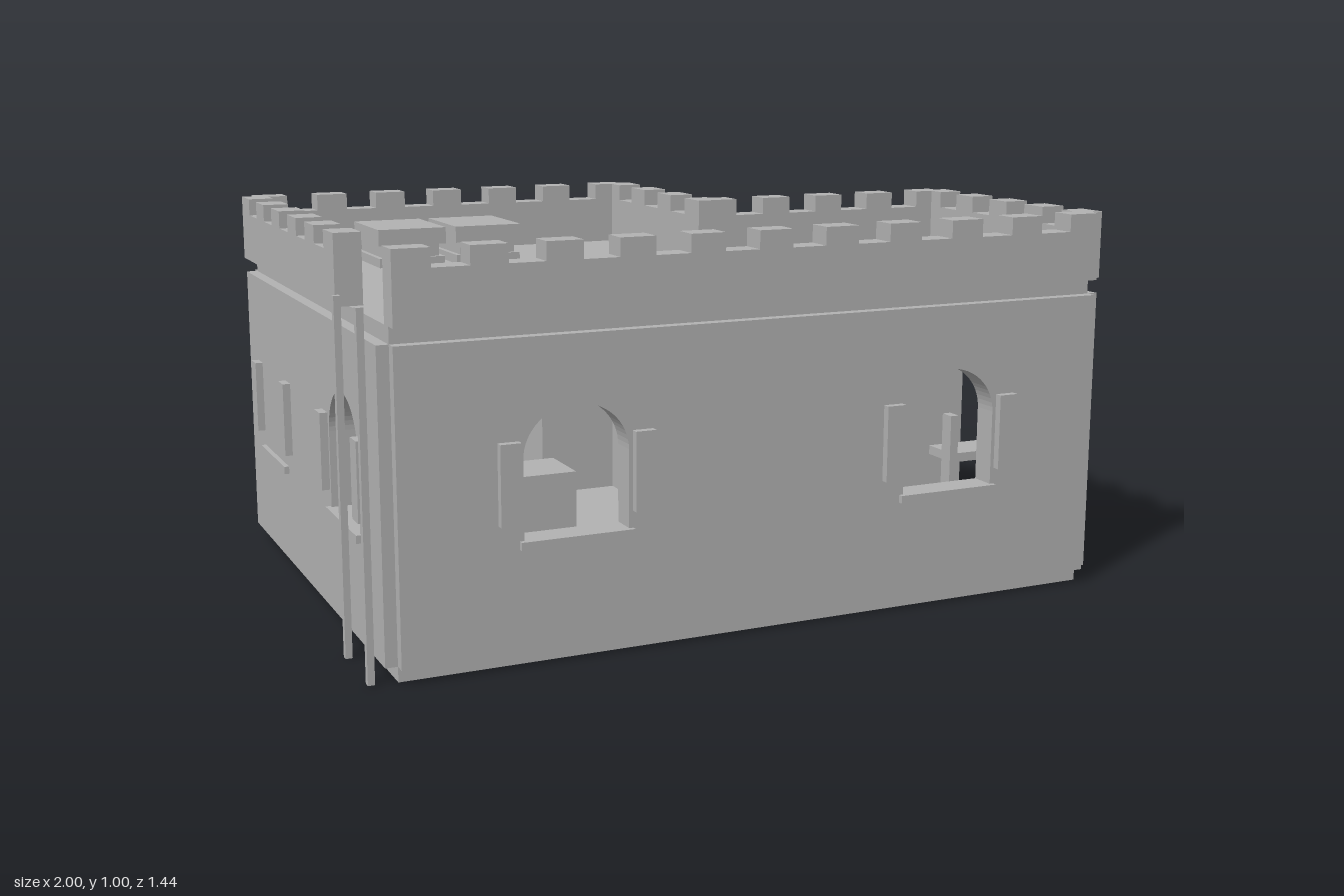
import * as THREE from 'three';

const grey = new THREE.MeshStandardMaterial({ color: 0xb2b2b2 });
grey.name = 'plaster grey';

const FLOOR = 0.04, WALL_TOP = 0.785, ROOF = 0.825;
// Plan outline limits of the L-shaped house
const X0 = -0.93, X1 = 0.965, Z0 = -0.68, Z1 = 0.67, NX = 0.2, NZ = -0.065;

function add(parent, name, geometry, x = 0, y = 0, z = 0) {
  const mesh = new THREE.Mesh(geometry, grey);
  mesh.name = name;
  mesh.position.set(x, y, z);
  parent.add(mesh);
  return mesh;
}

// Box given by its limits
function box(parent, name, x0, x1, y0, y1, z0, z1) {
  return add(parent, name, new THREE.BoxGeometry(x1 - x0, y1 - y0, z1 - z0),
    (x0 + x1) / 2, (y0 + y1) / 2, (z0 + z1) / 2);
}

function extrude(shape, depth) {
  return new THREE.ExtrudeGeometry(shape, { depth, bevelEnabled: false, curveSegments: 16 });
}

// L-shaped slab between two heights
function slab(parent, name, y0, y1) {
  const plan = [[X0, Z1], [X1, Z1], [X1, NZ], [NX, NZ], [NX, Z0], [X0, Z0]];
  const shape = new THREE.Shape(plan.map(([x, z]) => new THREE.Vector2(x, -z)));
  add(parent, name, extrude(shape, y1 - y0).rotateX(-Math.PI / 2), 0, y0, 0);
}

function archPath(c, a, bottom, spring, top) {
  const path = new THREE.Path();
  path.moveTo(c - a, bottom);
  path.lineTo(c + a, bottom);
  path.lineTo(c + a, spring);
  path.absellipse(c, spring, a, top - spring, 0, Math.PI, false);
  path.lineTo(c - a, bottom);
  return path;
}

// Shutters and sill on the outside of a wall
function windowTrim(wall, c) {
  for (const s of [-1, 1]) {
    const m = c + s * 0.168;
    box(wall, 'shutter', m - 0.026, m + 0.026, 0.35, 0.545, 0.028, 0.05);
  }
  box(wall, 'windowSill', c - 0.143, c + 0.143, 0.288, 0.308, 0, 0.043);
}

// Jambs and one half-arch leaf standing open to the inside
function doorTrim(wall, c, side) {
  const a = 0.245;
  for (const s of [-1, 1]) {
    const m = c + s * (a + 0.014);
    box(wall, 'doorJamb', m - 0.014, m + 0.014, FLOOR, 0.52, 0.02, 0.036);
  }
  const leaf = new THREE.Shape();
  leaf.moveTo(0, FLOOR);
  leaf.lineTo(0.235, FLOOR);
  leaf.lineTo(0.235, 0.69);
  leaf.quadraticCurveTo(0.04, 0.67, 0, 0.52);
  add(wall, 'openDoorLeaf', extrude(leaf, 0.04).rotateY(Math.PI / 2),
    side > 0 ? c + a - 0.065 : c - a, 0, -0.03);
}

// Wall slab facing local +z; openings are measured from the wall centre
function buildWall(house, { name, x, z, turn, length, openings = [] }) {
  const wall = new THREE.Group();
  wall.name = name;
  wall.position.set(x, 0, z);
  wall.rotation.y = turn;
  house.add(wall);
  const h = length / 2;
  const shape = new THREE.Shape([[-h, FLOOR - 0.002], [h, FLOOR - 0.002], [h, WALL_TOP], [-h, WALL_TOP]]
    .map(p => new THREE.Vector2(...p)));
  for (const o of openings) {
    if (o.type === 'door') {
      shape.holes.push(archPath(o.at, 0.245, FLOOR, 0.51, 0.697));
      doorTrim(wall, o.at, o.side);
    } else {
      if (o.type !== 'trimOnly') shape.holes.push(archPath(o.at, 0.132, 0.308, 0.5, 0.622));
      windowTrim(wall, o.at);
      if (o.type === 'blind') box(wall, 'windowInfill', o.at - 0.15, o.at + 0.15, 0.29, 0.64, -0.036, -0.005);
    }
  }
  add(wall, name + 'Slab', extrude(shape, 0.065), 0, 0, -0.035);
}

// Parapet with merlons on every second segment
function buildParapet(house, { name, x, z, turn, length, segments }) {
  const h = length / 2, step = length / segments;
  const shape = new THREE.Shape();
  shape.moveTo(-h, ROOF);
  shape.lineTo(h, ROOF);
  for (let i = 0; i < segments; i++) {
    const y = i % 2 ? 0.955 : 1;
    shape.lineTo(h - i * step, y);
    shape.lineTo(h - (i + 1) * step, y);
  }
  const mesh = add(house, name, extrude(shape, 0.068).translate(0, 0, -0.033), x, 0, z);
  mesh.rotation.y = turn;
}

export function createModel() {
  const house = new THREE.Group();
  house.name = 'house';
  const Q = Math.PI / 2;

  slab(house, 'floorSlab', 0, FLOOR - 0.002);
  slab(house, 'roofSlab', WALL_TOP, ROOF);

  // Walls
  const midX = (X0 + X1) / 2, midZ = (Z0 + Z1) / 2;
  const backX = (X0 + NX) / 2, rightZ = (NZ + Z1) / 2, wingX = (NX + X1) / 2;
  const nookEnd = NZ + 0.035, nookZ = (Z0 + nookEnd) / 2;
  const sides = [
    { name: 'front', x: midX, z: Z1, turn: 0, length: X1 - X0, segments: 21,
      openings: [{ type: 'window', at: -0.498 - midX }, { type: 'window', at: 0.525 - midX }] },
    { name: 'right', x: X1, z: rightZ, turn: Q, length: Z1 - NZ, segments: 9,
      openings: [{ type: 'door', at: rightZ - 0.305, side: 1 }] },
    { name: 'back', x: backX, z: Z0, turn: 2 * Q, length: NX - X0, segments: 13,
      openings: [{ type: 'door', at: backX + 0.365, side: -1 }] },
    { name: 'left', x: X0, z: midZ, turn: -Q, length: Z1 - Z0, segments: 11,
      openings: [{ type: 'trimOnly', at: -0.378 - midZ }, { type: 'window', at: 0.355 - midZ }] },
    { name: 'nookBack', x: wingX, z: NZ, turn: 2 * Q, length: X1 - NX, segments: 9,
      openings: [{ type: 'blind', at: wingX - 0.58 }] },
    { name: 'nookSide', x: NX, z: nookZ, turn: Q, length: nookEnd - Z0, segments: 7,
      openings: [{ type: 'window', at: nookZ + 0.37 }] },
  ];
  for (const s of sides) {
    buildWall(house, { ...s, name: s.name + 'Wall' });
    const p = { ...s, name: s.name + 'Parapet' };
    // The left parapet stops short to leave room for the ladder
    if (s.name === 'left') { p.length = 0.345 - Z0; p.z = (0.345 + Z0) / 2; }
    buildParapet(house, p);
  }

  // Ladder poles
  for (const z of [0.46, 0.655]) box(house, 'ladderPole', -1, -0.983, 0, 0.87, z - 0.009, z + 0.009);

  // Skylights
  for (const x of [-0.582, -0.361]) {
    box(house, 'skylightFoot', x - 0.093, x + 0.093, ROOF, 0.85, -0.537, -0.293);
    box(house, 'skylightBody', x - 0.08, x + 0.08, 0.85, 0.885, -0.525, -0.305);
    box(house, 'skylightLid', x - 0.096, x + 0.096, 0.885, 0.93, -0.54, -0.29);
  }

  // Pergola
  const pergola = new THREE.Group();
  pergola.name = 'pergola';
  house.add(pergola);
  for (const z of [-0.65, -0.15]) {
    box(pergola, 'pergolaRail', 0.275, 0.93, 0.623, 0.656, z - 0.018, z + 0.018);
    for (const x of [0.287, 0.918]) box(pergola, 'pergolaPost', x - 0.014, x + 0.014, FLOOR, 0.625, z - 0.015, z + 0.015);
  }
  for (let i = 0; i < 7; i++) {
    const x = 0.287 + i * 0.1055;
    box(pergola, 'pergolaSlat', x - 0.012, x + 0.012, 0.655, 0.69, -0.68, -0.12);
  }
  add(pergola, 'ventPipe', new THREE.CylinderGeometry(0.037, 0.037, 0.115, 24), 0.813, 0.7275, -0.535);
  add(pergola, 'ventCap', new THREE.CylinderGeometry(0.064, 0.064, 0.02, 32), 0.813, 0.79, -0.535);

  // Shelf and cabinet inside
  for (const x of [0.645, 0.89]) box(house, 'shelfSide', x - 0.012, x + 0.012, FLOOR, 0.46, 0.51, 0.55);
  for (const y of [0.225, 0.345]) box(house, 'shelfBoard', 0.64, 0.9, y - 0.012, y + 0.012, 0.44, 0.55);
  box(house, 'shelfBase', 0.66, 0.88, FLOOR, 0.1, 0.47, 0.55);
  box(house, 'cabinet', -0.89, -0.47, FLOOR, 0.44, 0.475, 0.625);
  return house;
}
